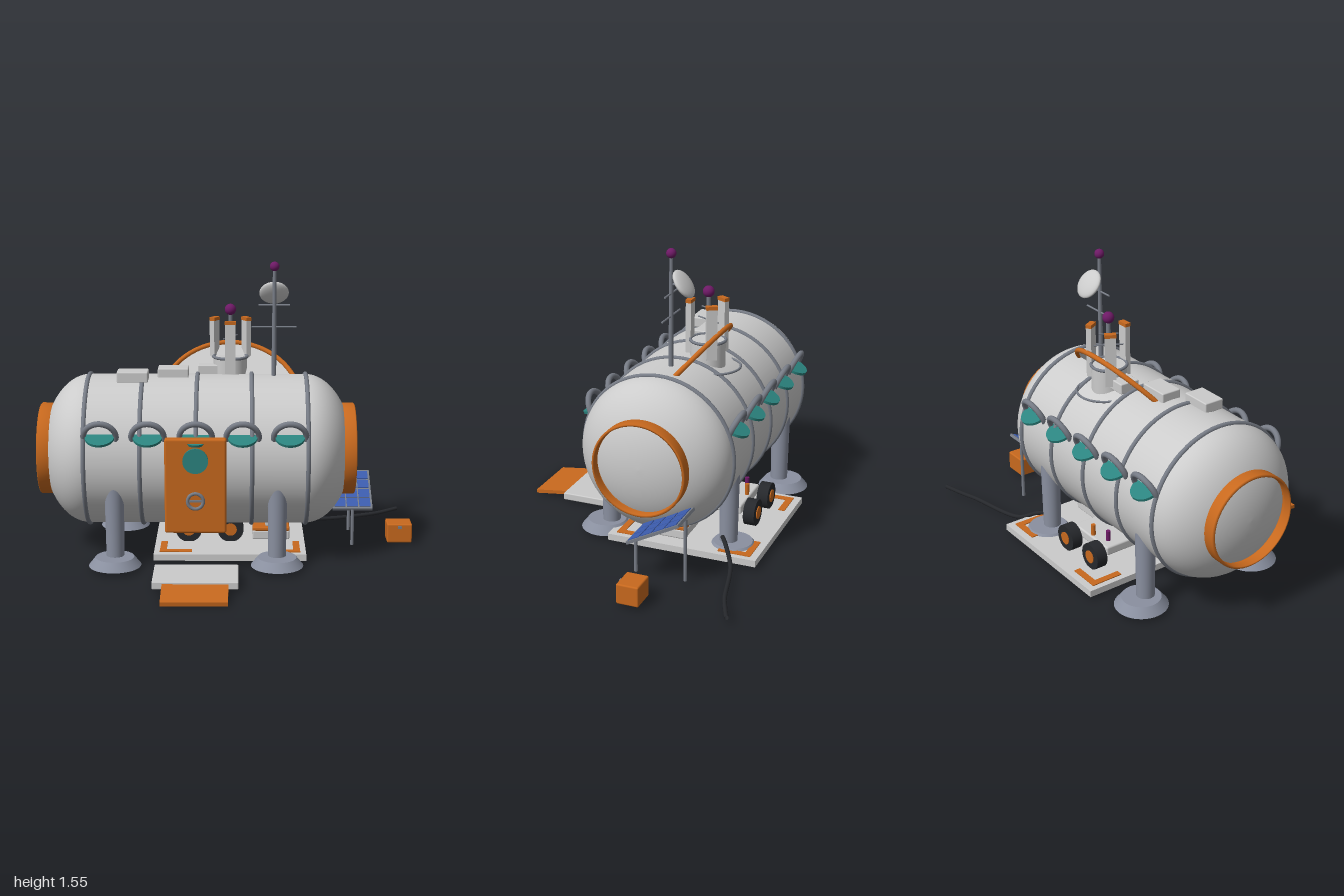
import * as THREE from 'three';
import { RoundedBoxGeometry } from 'three/addons/geometries/RoundedBoxGeometry.js';

const GREY = 0xcccccc, SLATE = 0x777c86, LEG = 0x8a90a0, ORANGE = 0xc8691e, TEAL = 0x2c8580,
  PURPLE = 0x6e1a66, BLUE = 0x3c5cae, DARK = 0x26282c;
const materials = {};
const mat = (c) => (materials[c] ??= new THREE.MeshStandardMaterial({ color: c, side: THREE.DoubleSide }));
const box = (x, y, z, r = 0) => (r ? new RoundedBoxGeometry(x, y, z, 2, r) : new THREE.BoxGeometry(x, y, z));
const cyl = (rt, rb, h, n = 32) => new THREE.CylinderGeometry(rt, rb, h, n);
const ring = (r, t, n = 48) => new THREE.TorusGeometry(r, t, 10, n);
const ball = (r) => new THREE.SphereGeometry(r, 24, 16);
const H = Math.PI / 2;

function add(parent, name, geo, color, pos = [0, 0, 0], rot = [0, 0, 0]) {
  const m = new THREE.Mesh(geo, mat(color));
  m.name = name;
  m.position.set(...pos);
  m.rotation.set(...rot);
  parent.add(m);
  return m;
}
function group(parent, name, pos = [0, 0, 0], rot = [0, 0, 0]) {
  const g = new THREE.Group();
  g.name = name;
  g.position.set(...pos);
  g.rotation.set(...rot);
  parent.add(g);
  return g;
}

// Pressure hull lying along x, with ribs and end collars
const CX = -0.168, CY = 0.557, CZ = -0.16, R = 0.397;
function addHull(root) {
  const hull = group(root, 'hull', [CX, CY, CZ]);
  const pts = [];
  for (const s of [-1, 1]) {
    for (let i = 0; i <= 16; i++) {
      const a = (s < 0 ? i : 16 - i) / 16 * H;
      pts.push(new THREE.Vector2(R * Math.sin(a), s * (0.57 + 0.25 * Math.cos(a))));
    }
  }
  add(hull, 'hullShell', new THREE.LatheGeometry(pts, 64), GREY, [0, 0, 0], [0, 0, -H]);
  for (const x of [-0.572, -0.286, 0, 0.286, 0.572])
    add(hull, 'hullRib', ring(R + 0.001, 0.012, 64), SLATE, [x, 0, 0], [0, H, 0]);
  const collar = [[0.232, 0], [0.243, 0.004], [0.243, 0.062], [0.238, 0.067], [0.23, 0.067], [0.228, 0.03]]
    .map(([r, y]) => new THREE.Vector2(r, y));
  for (const s of [-1, 1])
    add(hull, 'endCollar', new THREE.LatheGeometry(collar, 64), ORANGE, [s * 0.766, 0, 0], [0, 0, -s * H]);
}

// Hooded windows along both sides
function addWindows(root) {
  for (const s of [-1, 1])
    for (const x of [-0.655, -0.412, -0.168, 0.07, 0.31]) {
      const w = group(root, 'window', [x, 0.708, CZ + s * 0.37], [s * 0.42, 0, 0]);
      add(w, 'windowHood', ring(0.083, 0.015), SLATE);
      add(w, 'windowGlass', cyl(0.076, 0.076, 0.014), TEAL);
    }
}

// Door with porthole and hand wheel, plus step and ramp
function addEntrance(root) {
  const door = group(root, 'door', [-0.169, 0.465, 0.245]);
  add(door, 'doorPanel', box(0.314, 0.495, 0.05, 0.012), ORANGE);
  add(door, 'doorPorthole', cyl(0.065, 0.065, 0.02), TEAL, [0, 0.135, 0.028], [H, 0, 0]);
  add(door, 'doorWheel', ring(0.04, 0.009), SLATE, [0, -0.075, 0.033]);
  add(door, 'doorWheelSpoke', box(0.075, 0.01, 0.012), SLATE, [0, -0.075, 0.03]);
  add(root, 'entranceStep', box(0.43, 0.04, 0.265, 0.006), GREY, [-0.165, 0.036, 0.415]);
  add(root, 'entranceRamp', box(0.33, 0.02, 0.2), ORANGE, [-0.165, 0.024, 0.638], [0.12, 0, 0]);
}

function addLegs(root) {
  for (const s of [-1, 1])
    for (const x of [-0.59, 0.25]) {
      const leg = group(root, 'leg', [x, 0, CZ]);
      add(leg, 'legColumn', cyl(0.052, 0.046, 0.45), LEG, [0, 0.275, s * 0.325]);
      add(leg, 'footPad', cyl(0.1, 0.136, 0.045, 40), LEG, [0, 0.043, s * 0.35]);
    }
}

// Tilted viewing shield, roof boxes, vent tower and masts
function addRoof(root) {
  const shield = group(root, 'roofShield', [0.005, 0.81, -0.112], [-0.705, 0, 0]);
  add(shield, 'shieldDisc', new THREE.CircleGeometry(0.378, 64), GREY);
  add(shield, 'shieldRim', ring(0.376, 0.013, 72), ORANGE);
  for (let i = 0; i < 3; i++)
    add(root, 'roofBox', box(0.162, 0.055, 0.108, 0.006), GREY, [-0.503 + 0.208 * i, 0.97, -0.065 - 0.1 * i]);

  const tower = group(root, 'ventTower', [0.005, 0, -0.27]);
  add(tower, 'towerBase', cyl(0.09, 0.09, 0.14), GREY, [0, 0.965, 0]);
  add(tower, 'towerBaseRim', ring(0.09, 0.008), SLATE, [0, 1.035, 0], [H, 0, 0]);
  for (let i = 0; i < 3; i++) {
    const fin = group(tower, 'ventFin', [0, 0, 0], [0, i * 4 * H / 3, 0]);
    add(fin, 'finPost', box(0.055, 0.27, 0.028), GREY, [0, 1.095, 0.098]);
    add(fin, 'finCap', box(0.058, 0.018, 0.031), ORANGE, [0, 1.231, 0.098]);
  }
  add(tower, 'towerMast', cyl(0.011, 0.013, 0.3, 16), SLATE, [0, 1.14, 0]);
  add(tower, 'towerBeacon', ball(0.03), PURPLE, [0, 1.288, 0]);
  [1.14, 1.2].forEach((y, i) => {
    add(tower, 'towerCrossbar', cyl(0.004, 0.004, 0.15 - 0.05 * i, 8), SLATE, [0, y, 0], [H, 0, 0.5]);
  });
  add(root, 'roofRail', ring(0.143, 0.006), SLATE, [0.005, 0.9, -0.297], [H, 0, 0]);

  const mast = group(root, 'radioMast', [0.235, 0, -0.16]);
  add(mast, 'mastPole', cyl(0.009, 0.013, 0.6, 16), SLATE, [0, 1.23, 0]);
  add(mast, 'mastBeacon', ball(0.025), PURPLE, [0, 1.53, 0]);
  add(mast, 'mastCrossbarLow', cyl(0.005, 0.005, 0.235, 8), SLATE, [0, 1.213, 0], [0, 0, H]);
  add(mast, 'mastCrossbarHigh', cyl(0.005, 0.005, 0.165, 8), SLATE, [0, 1.328, 0], [0, 0, H]);
  add(mast, 'dish', ball(0.078), GREY, [0, 1.383, -0.066], [-0.93, 0, 0]).scale.y = 0.3;
  add(mast, 'dishArm', cyl(0.006, 0.006, 0.07, 8), SLATE, [0, 1.375, -0.033], [H, 0, 0]);
}

// Work platform below the hull, carrying a small rover and a tool case
function addPlatform(root) {
  const p = group(root, 'platform', [0.005, 0, -0.28]);
  add(p, 'platformPlate', box(0.8, 0.035, 0.8), GREY, [0, 0.036, 0]);
  for (const sx of [-1, 1])
    for (const sz of [-1, 1]) {
      add(p, 'cornerMark', box(0.17, 0.006, 0.035), ORANGE, [sx * 0.285, 0.055, sz * 0.345]);
      add(p, 'cornerMark', box(0.035, 0.006, 0.14), ORANGE, [sx * 0.352, 0.055, sz * 0.26]);
    }
  const rover = group(p, 'rover', [-0.11, 0, -0.05]);
  add(rover, 'roverBody', box(0.3, 0.05, 0.3, 0.01), GREY, [0, 0.135, 0]);
  for (const sx of [-1, 1])
    for (const sz of [-1, 1]) {
      add(rover, 'roverWheel', cyl(0.07, 0.07, 0.06, 28), DARK, [sx * 0.112, 0.12, sz * 0.2], [H, 0, 0]);
      add(rover, 'wheelHub', cyl(0.034, 0.034, 0.07, 20), ORANGE, [sx * 0.112, 0.12, sz * 0.2], [H, 0, 0]);
    }
  add(rover, 'roverPost', cyl(0.012, 0.012, 0.1, 12), ORANGE, [0, 0.17, -0.13]);
  add(rover, 'roverSampler', cyl(0.012, 0.012, 0.09, 12), PURPLE, [-0.09, 0.17, -0.1]);
  const tool = group(p, 'toolCase', [0.22, 0, 0.08]);
  add(tool, 'caseBase', box(0.2, 0.05, 0.15, 0.008), GREY, [0, 0.08, 0]);
  add(tool, 'caseLid', box(0.2, 0.02, 0.15, 0.006), ORANGE, [0, 0.113, 0]);
  add(tool, 'caseTop', box(0.1, 0.04, 0.09, 0.006), GREY, [0.02, 0.14, 0]);
}

// Tilted solar panel on two posts
function addSolar(root) {
  for (const [z, h] of [[-0.15, 0.22], [-0.41, 0.35]])
    add(root, 'solarPost', cyl(0.009, 0.009, h - 0.02, 12), SLATE, [0.665, h / 2 + 0.01, z]);
  const panel = group(root, 'solarPanel', [0.665, 0.291, -0.28], [0.48, 0, 0]);
  add(panel, 'panelFrame', box(0.215, 0.015, 0.305), SLATE);
  for (let i = 0; i < 3; i++)
    for (let j = 0; j < 4; j++)
      add(panel, 'solarCell', box(0.06, 0.005, 0.063), BLUE, [(i - 1) * 0.067, 0.009, (j - 1.5) * 0.072]);
}

// Supply crate and ground cable
function addGroundGear(root) {
  const crate = group(root, 'crate', [0.927, 0.07, -0.245]);
  add(crate, 'crateBox', box(0.136, 0.105, 0.115, 0.008), ORANGE);
  add(crate, 'crateLatch', box(0.02, 0.014, 0.012), SLATE, [0, 0.035, 0.06]);
  const path = [[0.3, 0.1, -0.47], [0.36, 0.085, -0.51], [0.46, 0.035, -0.57], [0.78, 0.032, -0.655], [0.87, 0.036, -0.69], [0.97, 0.048, -0.732]];
  const curve = new THREE.CatmullRomCurve3(path.map((q) => new THREE.Vector3(...q)), false, 'centripetal');
  add(root, 'groundCable', new THREE.TubeGeometry(curve, 48, 0.011, 10), DARK);
}

export function createModel() {
  const root = new THREE.Group();
  root.name = 'habitat';
  [addHull, addWindows, addEntrance, addLegs, addRoof, addPlatform, addSolar, addGroundGear].forEach((f) => f(root));
  return root;
}
